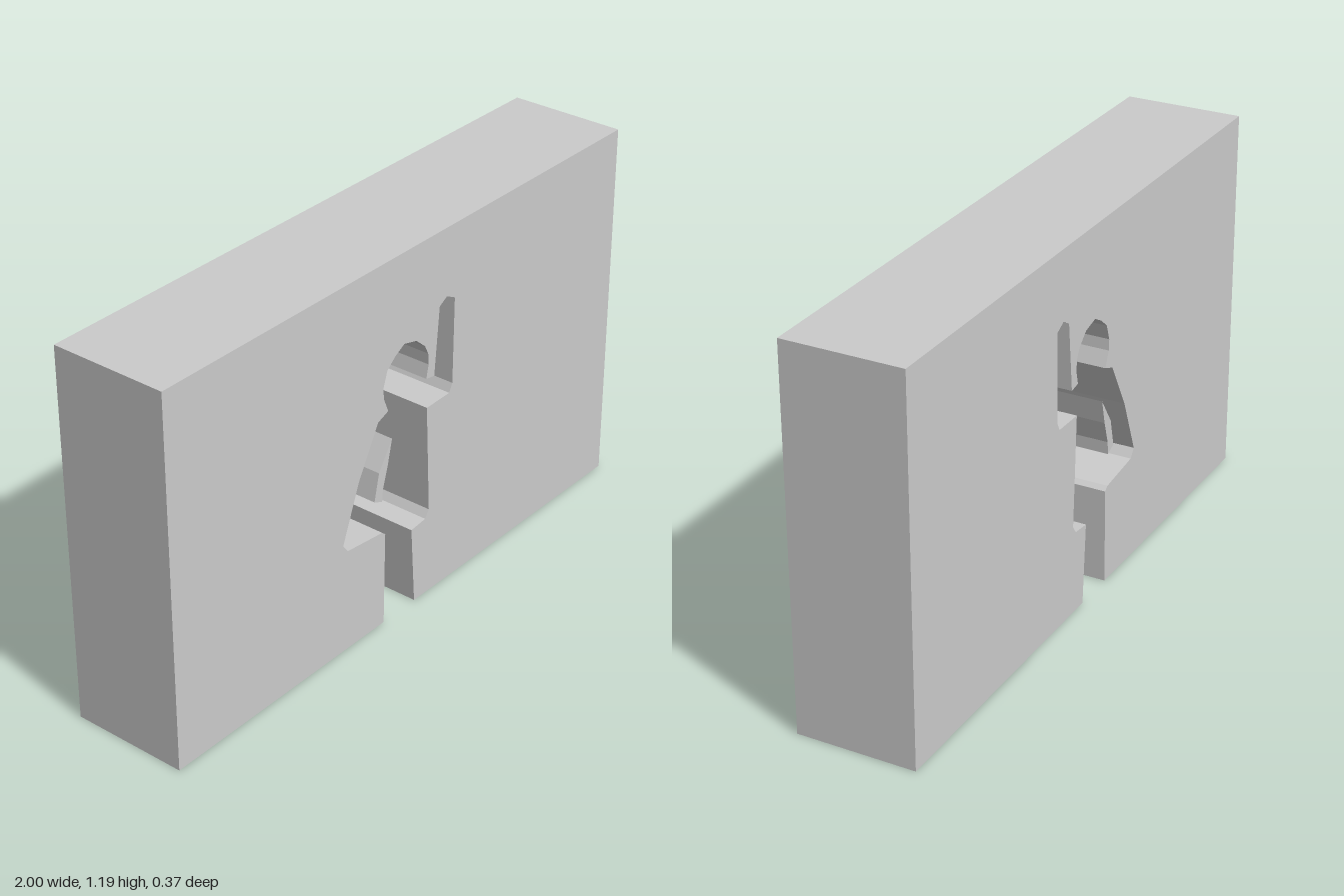
import * as THREE from 'three';

const DEPTH = 0.374;
const HEIGHT = 1.19;

// Extrude a closed outline through the wall's thickness, centred on z = 0
function slab(name, points, material) {
  const shape = new THREE.Shape(points.map(([x, y]) => new THREE.Vector2(x, y)));
  const geometry = new THREE.ExtrudeGeometry(shape, { depth: DEPTH, bevelEnabled: false });
  geometry.translate(0, 0, -DEPTH / 2);
  const mesh = new THREE.Mesh(geometry, material);
  mesh.name = name;
  return mesh;
}

export function createModel() {
  const group = new THREE.Group();
  group.name = 'silhouetteWall';
  const material = new THREE.MeshStandardMaterial({ color: 0xcccccc, flatShading: true });

  // Figure-shaped opening, traced from the left foot of the gap to the right
  const legAndSkirt = [[-0.115, 0], [-0.11, 0.308], [-0.125, 0.32], [-0.28, 0.338], [-0.30, 0.365]];
  const loweredArm = [[-0.23, 0.545], [-0.145, 0.70], [-0.10, 0.717]];
  const head = [
    [-0.12, 0.765], [-0.122, 0.80], [-0.105, 0.85], [-0.07, 0.88], [-0.03, 0.902],
    [0.025, 0.888], [0.065, 0.853], [0.08, 0.823], [0.083, 0.786], [0.073, 0.743],
  ];
  const raisedArm = [
    [0.11, 0.737], [0.13, 0.953], [0.163, 0.972], [0.20, 0.953],
    [0.197, 0.674], [0.183, 0.647], [0.078, 0.645],
  ];
  const hemAndLeg = [[0.095, 0.29], [0.078, 0.265], [0.013, 0.258], [0.03, 0]];
  const opening = [...legAndSkirt, ...loweredArm, ...head, ...raisedArm, ...hemAndLeg];

  // Wall block around the opening, which runs down to the ground
  group.add(slab('wall', [
    [-1, 0], ...opening, [1, 0], [1, HEIGHT], [-1, HEIGHT],
  ], material));

  // Sliver of wall left between the lowered arm and the body
  group.add(slab('armGapSliver', [
    [-0.082, 0.618], [-0.14, 0.53], [-0.16, 0.442], [-0.125, 0.426], [-0.122, 0.467], [-0.10, 0.54],
  ], material));

  return group;
}
